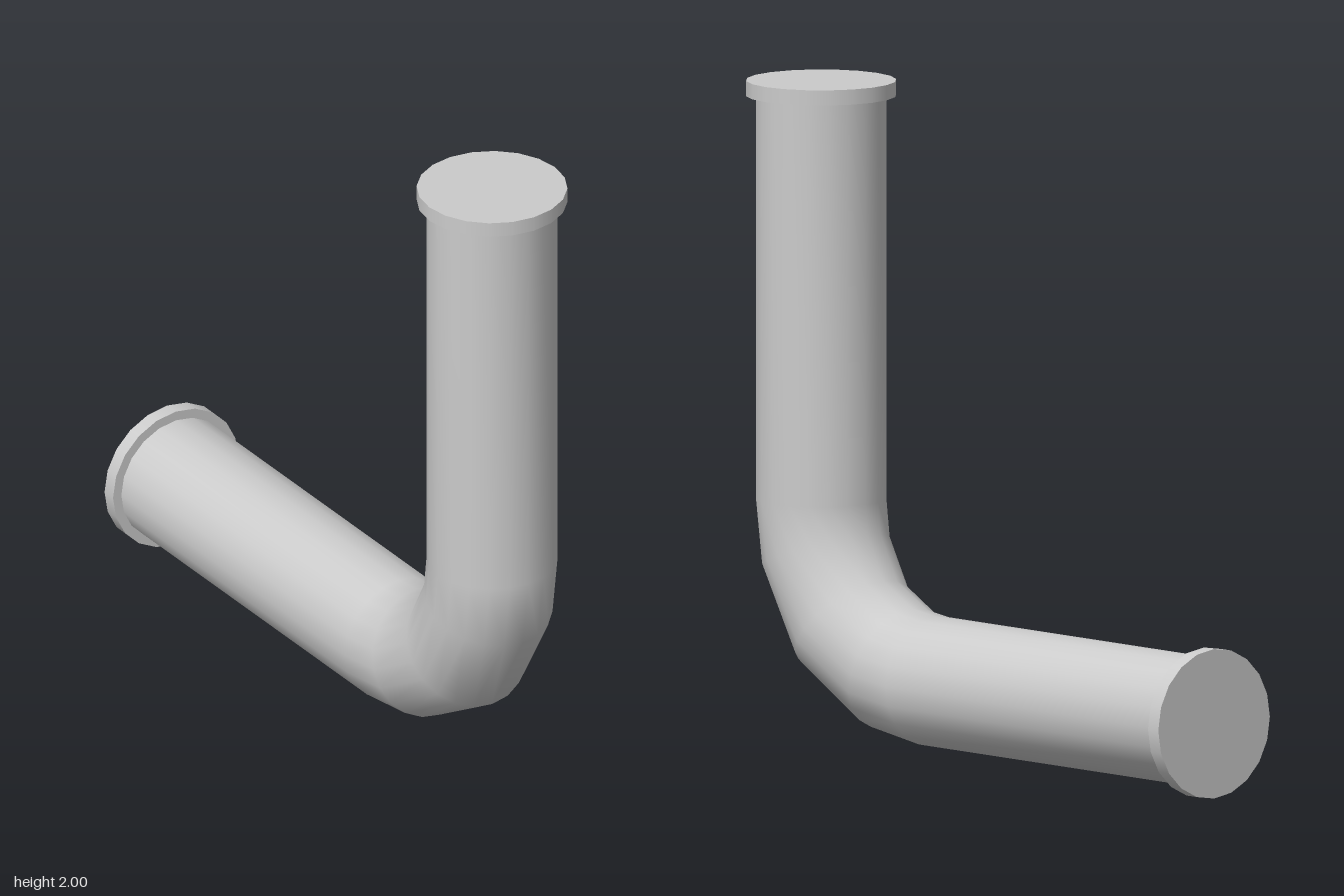
import * as THREE from 'three';

const SIDES = 20;
const PIPE_R = 0.197;
const FLANGE_R = 0.227;
const FLANGE_T = 0.046;
const AXIS_Y = 0.228; // height of the horizontal run
const AXIS_Z = 0.763; // depth of the vertical run
const END_Z = -0.99;

// Skins a smooth tube through tilted rings: [centre y, centre z, tilt in degrees]
function pipeGeometry(rings) {
  const positions = [], index = [];
  rings.forEach(([y, z, tilt], i) => {
    const a = THREE.MathUtils.degToRad(tilt);
    for (let j = 0; j < SIDES; j++) {
      const t = (j / SIDES) * Math.PI * 2;
      const out = PIPE_R * Math.sin(t);
      positions.push(PIPE_R * Math.cos(t), y - out * Math.sin(a), z + out * Math.cos(a));
      if (i === rings.length - 1) continue;
      const p = i * SIDES + j, q = i * SIDES + (j + 1) % SIDES;
      index.push(p, q, p + SIDES, q, q + SIDES, p + SIDES);
    }
  });
  const geo = new THREE.BufferGeometry();
  geo.setAttribute('position', new THREE.Float32BufferAttribute(positions, 3));
  geo.setIndex(index);
  geo.computeVertexNormals();
  return geo;
}

export function createModel() {
  const group = new THREE.Group();
  group.name = 'elbowPipe';
  const material = new THREE.MeshStandardMaterial({ color: 0xcccccc });

  // Pipe: vertical run, four-segment bend, horizontal run
  const pipe = new THREE.Mesh(pipeGeometry([
    [2 - FLANGE_T / 2, AXIS_Z, 0],
    [0.73, AXIS_Z, 0],
    [0.575, 0.742, 18.5],
    [0.368, 0.624, 45],
    [0.25, 0.417, 71.5],
    [AXIS_Y, 0.26, 90],
    [AXIS_Y, END_Z + FLANGE_T / 2, 90],
  ]), material);
  pipe.name = 'pipe';
  group.add(pipe);

  // Solid flange discs closing both ends
  const disc = new THREE.CylinderGeometry(FLANGE_R, FLANGE_R, FLANGE_T, SIDES);
  const topFlange = new THREE.Mesh(disc, material);
  topFlange.name = 'topFlange';
  topFlange.position.set(0, 2 - FLANGE_T / 2, AXIS_Z);

  const backFlange = new THREE.Mesh(disc, material);
  backFlange.name = 'backFlange';
  backFlange.rotation.x = -Math.PI / 2;
  backFlange.position.set(0, AXIS_Y, END_Z + FLANGE_T / 2);

  group.add(topFlange, backFlange);
  return group;
}
